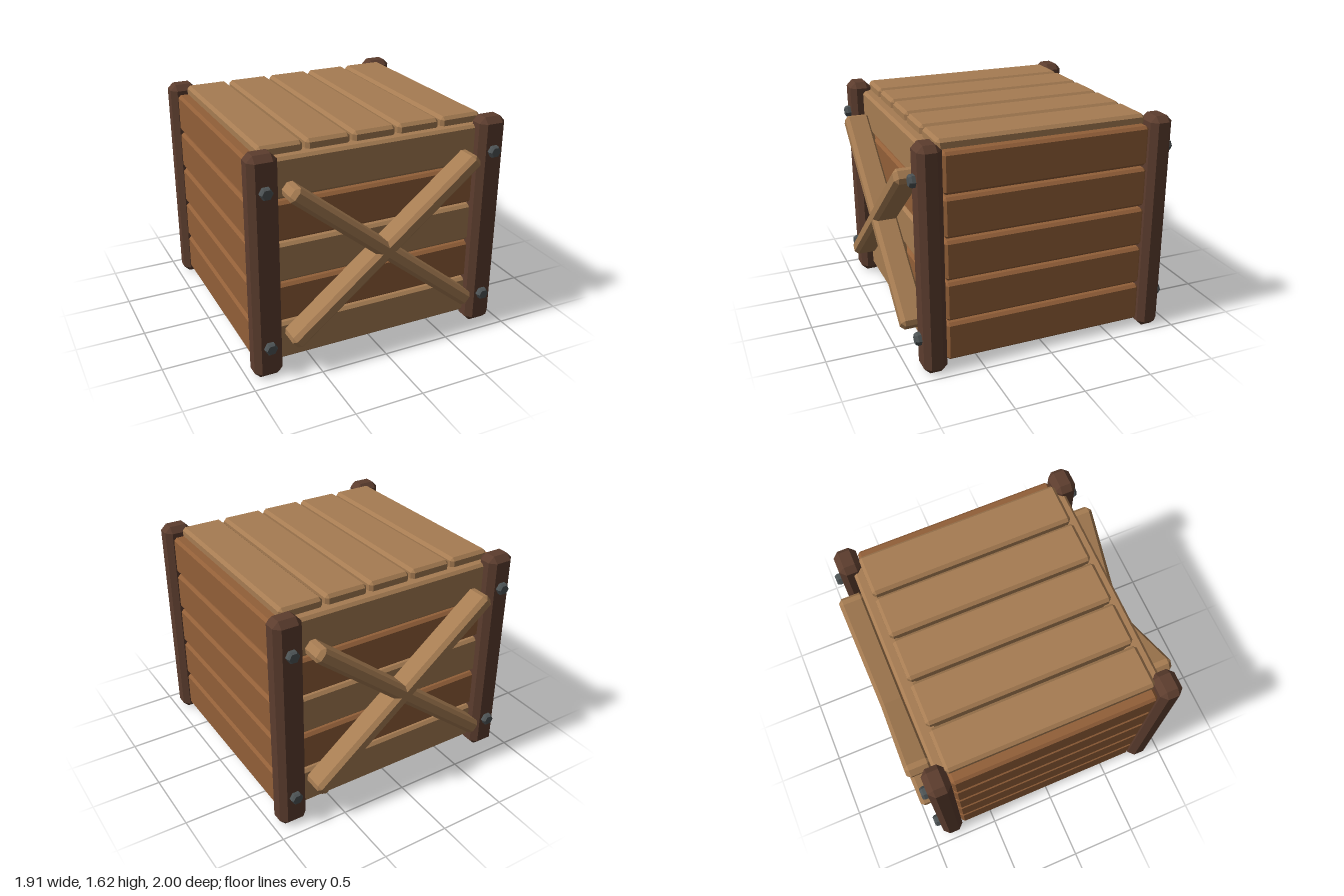
import * as THREE from 'three';
import { ConvexGeometry } from 'three/addons/geometries/ConvexGeometry.js';

const material = (name, color) => {
  const m = new THREE.MeshStandardMaterial({ color });
  m.name = name;
  return m;
};

// Box with every edge cut at 45 degrees by c
function chamferBox(w, h, d, c) {
  const points = [];
  const half = [w / 2, h / 2, d / 2];
  for (const sx of [-1, 1]) for (const sy of [-1, 1]) for (const sz of [-1, 1]) {
    for (let face = 0; face < 3; face++) {
      const p = half.map((v, axis) => (axis === face ? v : v - c));
      points.push(new THREE.Vector3(p[0] * sx, p[1] * sy, p[2] * sz));
    }
  }
  return new ConvexGeometry(points);
}

export function createModel() {
  const lightWood = material('lightWood', 0xa67c52);
  const warmWood = material('warmWood', 0x925f38);
  const darkWood = material('darkWood', 0x5c3d2e);
  const iron = material('iron', 0x4c5254);

  const crate = new THREE.Group();
  crate.name = 'crate';
  const add = (name, geometry, mat, x, y, z) => {
    const mesh = new THREE.Mesh(geometry, mat);
    mesh.name = name;
    mesh.position.set(x, y, z);
    crate.add(mesh);
    return mesh;
  };

  const postGeo = chamferBox(0.205, 1.625, 0.165, 0.042);
  const frontPlankGeo = chamferBox(1.6, 0.285, 0.135, 0.02);
  const sidePlankGeo = chamferBox(0.135, 0.285, 1.49, 0.02);
  const slatGeo = chamferBox(0.317, 0.13, 1.51, 0.022);
  const braceGeo = chamferBox(1.78, 0.112, 0.19, 0.028);

  // Hexagonal bolt: straight shank and tapered head, pointing along +z
  const shankGeo = new THREE.CylinderGeometry(0.046, 0.046, 0.05, 6, 1, false, Math.PI / 6).toNonIndexed();
  const headGeo = new THREE.CylinderGeometry(0.036, 0.046, 0.016, 6, 1, false, Math.PI / 6).toNonIndexed();
  for (const g of [shankGeo, headGeo]) {
    g.rotateX(Math.PI / 2);
    g.computeVertexNormals();
  }

  // Corner posts with two bolts each
  for (const sx of [-1, 1]) for (const sz of [-1, 1]) {
    add('cornerPost', postGeo, darkWood, sx * 0.852, 0.8125, sz * 0.832);
    for (const y of [0.25, 1.385]) {
      const turn = sz > 0 ? 0 : Math.PI;
      add('boltShank', shankGeo, iron, sx * 0.85, y, sz * 0.914).rotation.y = turn;
      add('boltHead', headGeo, iron, sx * 0.85, y, sz * 0.947).rotation.y = turn;
    }
  }

  // Five planks on each wall; front and back alternate in colour
  for (let i = 0; i < 5; i++) {
    const y = 0.208 + i * 0.3025;
    for (const s of [-1, 1]) {
      add('wallPlank', frontPlankGeo, i % 2 ? warmWood : lightWood, 0, y, s * 0.757);
      add('sidePlank', sidePlankGeo, warmWood, s * 0.8475, y, 0);
    }
  }

  // Lid slats
  for (let i = -2; i <= 2; i++) add('lidSlat', slatGeo, lightWood, i * 0.339, 1.56, 0);

  // Crossed braces on front and back
  for (const sz of [-1, 1]) for (const tilt of [-1, 1]) {
    add('crossBrace', braceGeo, lightWood, 0, 0.815, sz * 0.905).rotation.z = tilt * 0.68;
  }

  // Floor
  add('floor', new THREE.BoxGeometry(1.76, 0.07, 1.58), darkWood, 0, 0.102, 0);

  return crate;
}
